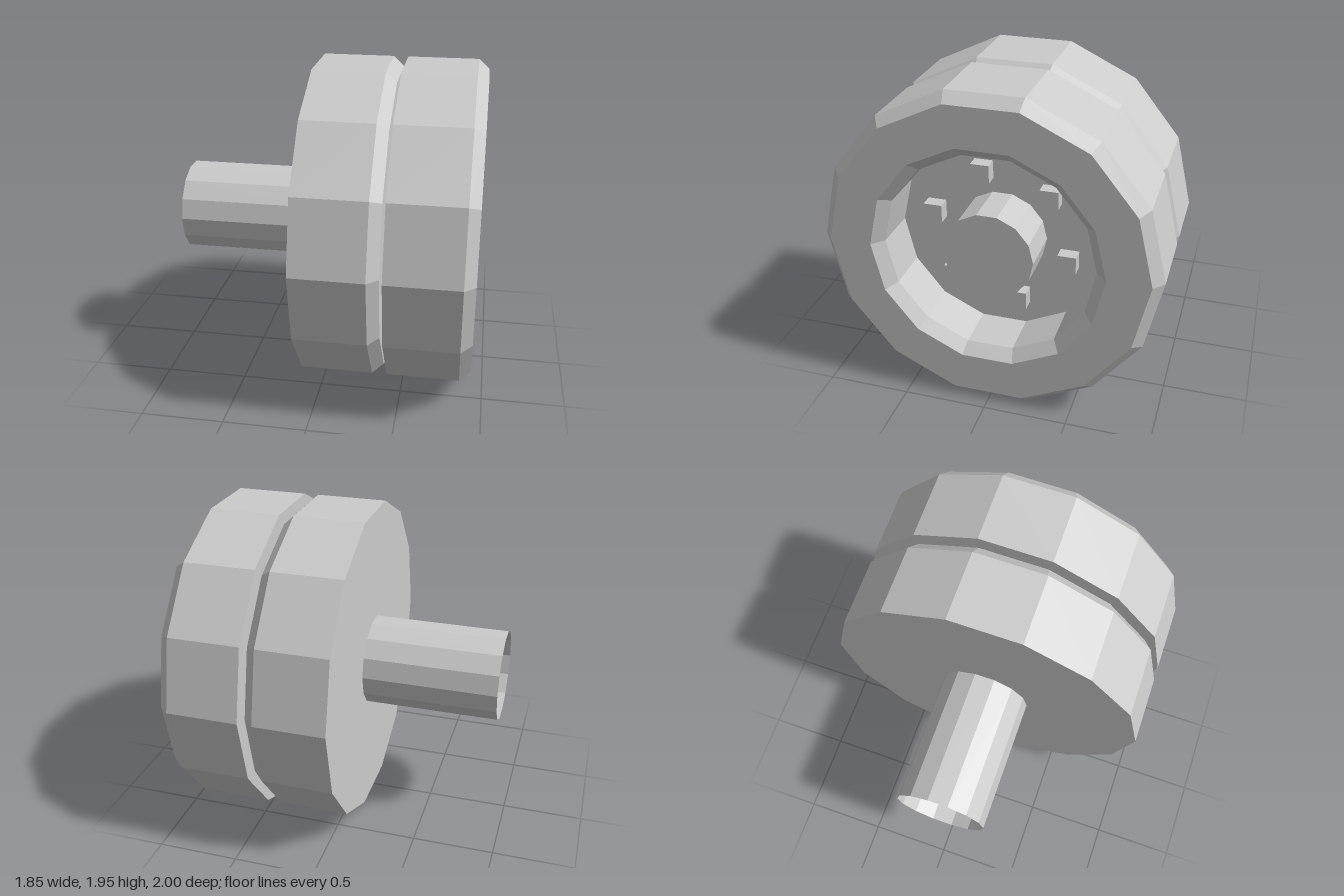
import * as THREE from 'three';

const SIDES = 14;
const grey = new THREE.MeshStandardMaterial({ color: 0xcccccc, flatShading: true });
const greyOpen = new THREE.MeshStandardMaterial({ color: 0xcccccc, flatShading: true, side: THREE.DoubleSide });

function addMesh(parent, name, geometry, material = grey) {
  const mesh = new THREE.Mesh(geometry, material);
  mesh.name = name;
  parent.add(mesh);
  return mesh;
}

// Cylinder along x between two positions
function rod(radius, x0, x1, open = false) {
  const g = new THREE.CylinderGeometry(radius, radius, x1 - x0, SIDES, 1, open);
  return g.rotateZ(-Math.PI / 2).translate((x0 + x1) / 2, 0, 0);
}

// Closed back, chamfered tread, sunken dish: [radius, distance from back]
function wheelGeometry() {
  const profile = [
    [0, 0], [1, 0], [1, 0.435], [0.94, 0.5],
    [0.69, 0.5], [0.625, 0.435], [0.625, 0.155], [0, 0.155],
  ].map(([r, x]) => new THREE.Vector2(r, x));
  return new THREE.LatheGeometry(profile, SIDES).rotateZ(-Math.PI / 2);
}

export function createModel() {
  const model = new THREE.Group();
  model.name = 'dualWheel';
  const assembly = new THREE.Group();
  assembly.name = 'wheelAssembly';
  assembly.position.y = Math.cos(Math.PI / SIDES);
  model.add(assembly);

  // Twin wheels side by side
  addMesh(assembly, 'innerWheel', wheelGeometry()).position.x = -0.098;
  addMesh(assembly, 'outerWheel', wheelGeometry()).position.x = 0.425;

  // Open axle tube and solid hub
  addMesh(assembly, 'axle', rod(0.28, -0.928, -0.098, true), greyOpen);
  addMesh(assembly, 'hub', rod(0.267, 0.57, 0.87));

  // Square bolts around the hub, all kept upright
  const bolts = new THREE.Group();
  bolts.name = 'bolts';
  assembly.add(bolts);
  const boltGeometry = new THREE.BoxGeometry(0.1, 0.11, 0.11);
  for (let i = 0; i < 6; i++) {
    const a = Math.PI / 12 + (i * Math.PI) / 3;
    addMesh(bolts, 'bolt', boltGeometry).position.set(0.61, 0.42 * Math.sin(a), 0.42 * Math.cos(a));
  }
  return model;
}
